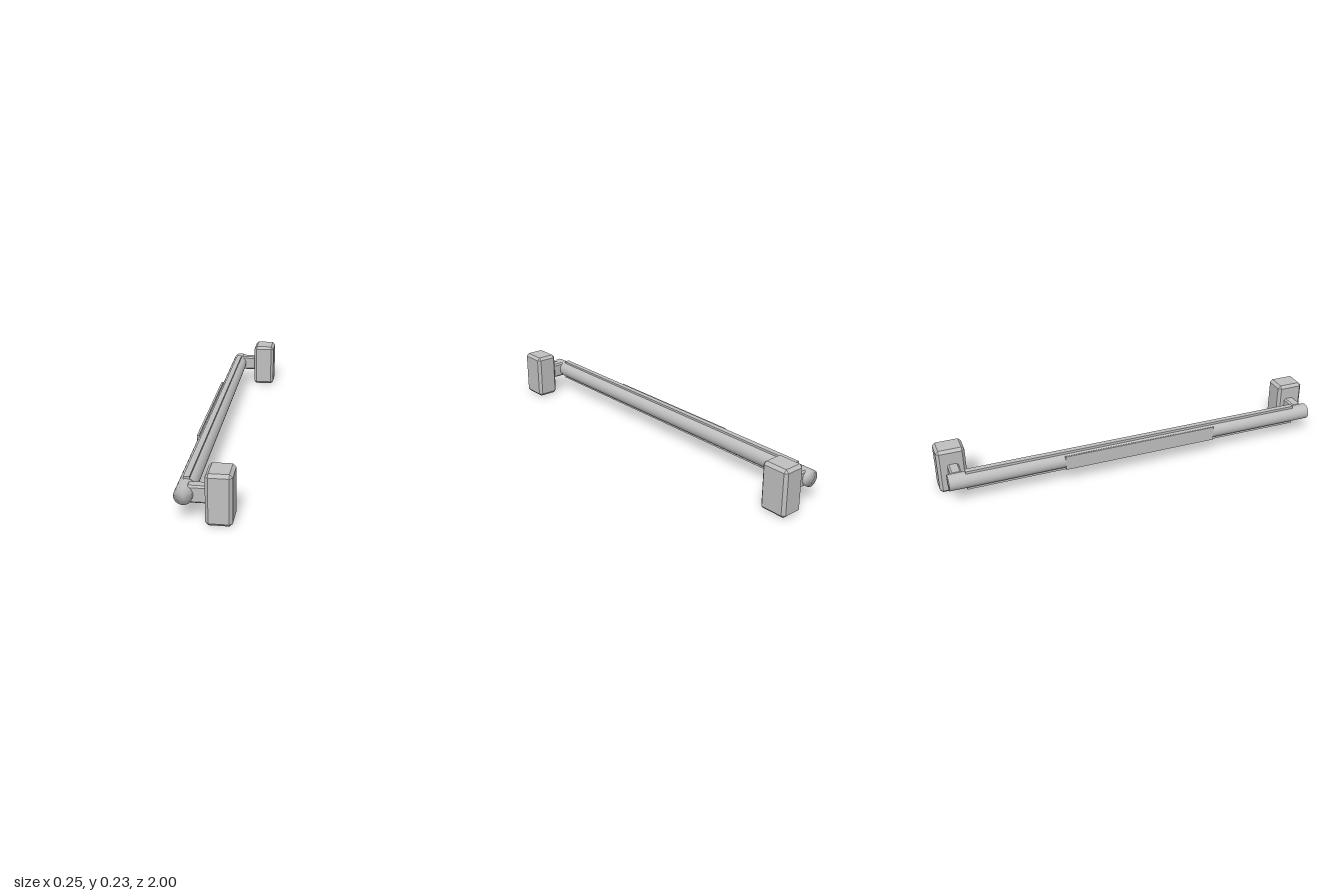
import * as THREE from 'three';
import { mergeVertices } from 'three/addons/utils/BufferGeometryUtils.js';
import { ConvexGeometry } from 'three/addons/geometries/ConvexGeometry.js';

const ROD_X = -0.085, ROD_Y = 0.117, ROD_R = 0.04;

// Box with every edge cut at 45 degrees: hull of three points per corner
function chamferBox(w, h, d, c) {
  const points = [];
  for (const sx of [-1, 1]) for (const sy of [-1, 1]) for (const sz of [-1, 1]) {
    const x = w / 2, y = h / 2, z = d / 2;
    points.push(
      new THREE.Vector3(sx * x, sy * (y - c), sz * (z - c)),
      new THREE.Vector3(sx * (x - c), sy * y, sz * (z - c)),
      new THREE.Vector3(sx * (x - c), sy * (y - c), sz * z));
  }
  return new ConvexGeometry(points);
}

// Rod along z whose flat ends share smooth normals with its side
function smoothRod(radius, length) {
  const rod = new THREE.CylinderGeometry(radius, radius, length, 32).rotateX(Math.PI / 2);
  rod.deleteAttribute('normal');
  rod.deleteAttribute('uv');
  const merged = mergeVertices(rod, 1e-4);
  merged.computeVertexNormals();
  return merged;
}

export function createModel() {
  const metal = new THREE.MeshStandardMaterial({ color: 0xbfbfbf });
  metal.name = 'brushed metal grey';
  const group = new THREE.Group();
  group.name = 'pullHandle';

  const add = (name, geometry, x, y, z) => {
    const mesh = new THREE.Mesh(geometry, metal);
    mesh.name = name;
    mesh.position.set(x, y, z);
    group.add(mesh);
    return mesh;
  };

  // Long round bar
  add('rod', smoothRod(ROD_R, 1.94), ROD_X, ROD_Y, 0);

  // Rounded grip on the mount side of the bar
  const grip = new THREE.CylinderGeometry(0.042, 0.042, 1.77, 24, 1, false, 0, Math.PI);
  add('grip', grip.rotateX(Math.PI / 2), ROD_X, ROD_Y, 0);

  // Thin rail standing proud of the top and bottom of the bar
  add('rail', new THREE.BoxGeometry(0.027, 0.1, 1.77), ROD_X, ROD_Y, 0);

  // Flat plate on the outer side, with a narrower backing
  add('sidePlate', new THREE.BoxGeometry(0.01, 0.074, 0.8), -0.12, ROD_Y, 0);
  add('sidePlateBacking', new THREE.BoxGeometry(0.01, 0.062, 0.8), -0.112, ROD_Y, 0);

  // Mounting block and connecting arm at each end
  for (const side of [-1, 1]) {
    add('mountBlock', chamferBox(0.115, 0.233, 0.14, 0.014), 0.0675, 0.1165, side * 0.93);
    add('mountArm', chamferBox(0.1, 0.079, 0.054, 0.008), -0.025, ROD_Y, side * 0.925);
  }
  return group;
}
